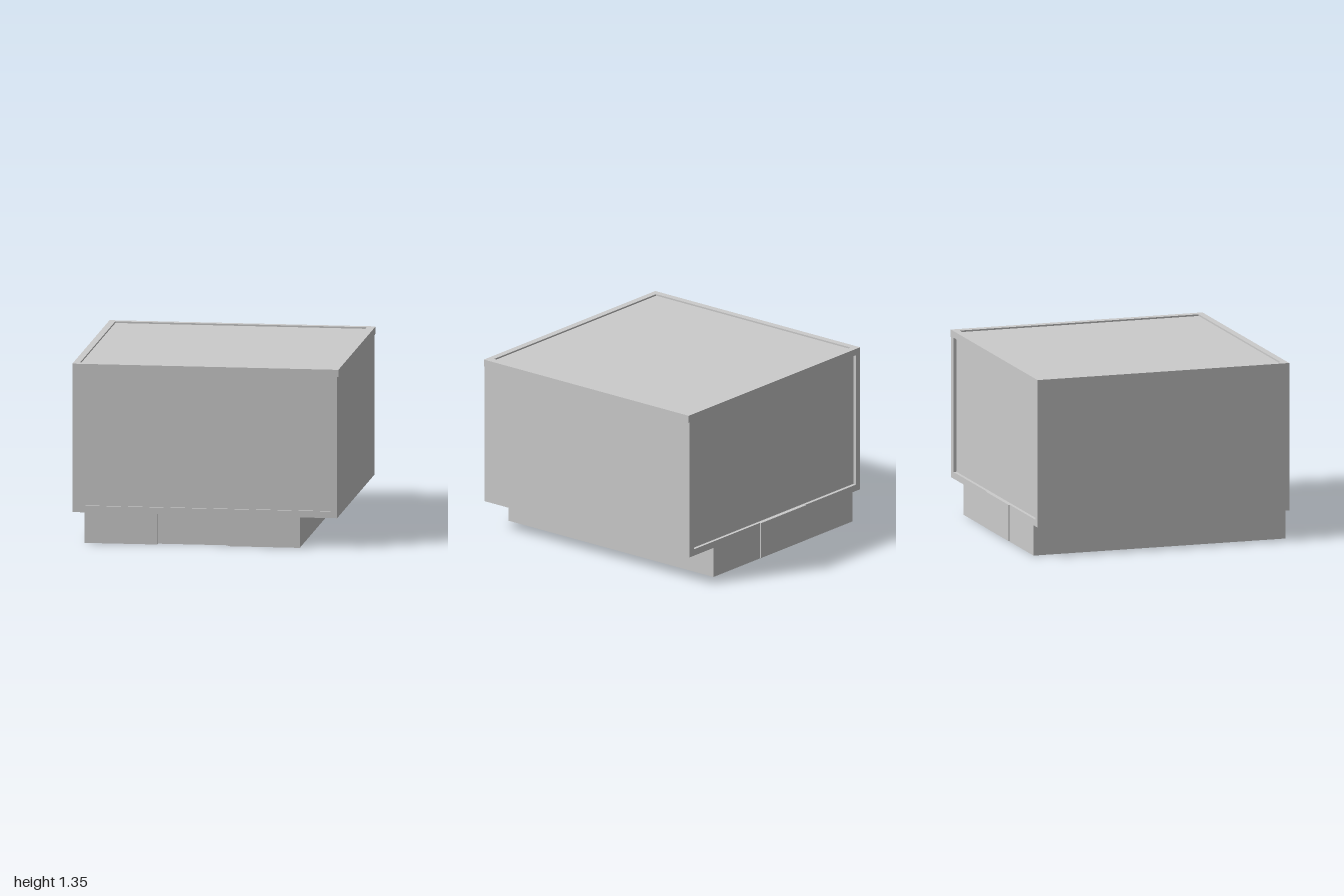
import * as THREE from 'three';

const mat = new THREE.MeshStandardMaterial({ color: 0xcccccc, flatShading: true });

// Box given by its minimum and maximum corners
function box(name, [x0, y0, z0], [x1, y1, z1]) {
  const g = new THREE.BoxGeometry(x1 - x0, y1 - y0, z1 - z0);
  g.translate((x0 + x1) / 2, (y0 + y1) / 2, (z0 + z1) / 2);
  const m = new THREE.Mesh(g, mat);
  m.name = name;
  return m;
}

function polygon(points) {
  return new THREE.Shape(points.map(([x, y]) => new THREE.Vector2(x, y)));
}

function extrude(name, shape, depth) {
  const g = new THREE.ExtrudeGeometry(shape, { depth, bevelEnabled: false });
  const m = new THREE.Mesh(g, mat);
  m.name = name;
  return m;
}

// Rectangle with a rectangular opening
function frameShape(x0, y0, x1, y1, hx0, hy0, hx1, hy1) {
  const s = polygon([[x0, y0], [x1, y0], [x1, y1], [x0, y1]]);
  s.holes.push(polygon([[hx0, hy0], [hx0, hy1], [hx1, hy1], [hx1, hy0]]));
  return s;
}

export function createModel() {
  const group = new THREE.Group();
  const L = -1, R = 0.99, bottom = 0.23, top = 1.35;
  const back = -0.985, front = 0.995, rim = 0.05;
  const topDepth = 0.012, frontDepth = 0.015, backDepth = 0.025;
  const coreTop = top - topDepth;

  // Upper storey, with sunken panels on the front, back and roof
  group.add(box('upperStorey', [L, bottom, back + backDepth], [R, coreTop, front - frontDepth]));

  const wall = frameShape(L, bottom, R, coreTop, L + rim, bottom + rim, R - rim, top - rim);
  const frontFrame = extrude('frontFrame', wall, frontDepth);
  frontFrame.position.z = front - frontDepth;
  const backFrame = extrude('backFrame', wall, backDepth);
  backFrame.position.z = back;

  const roof = frameShape(L, -front, R, -back, L + rim, -front + rim, R - rim, -back - rim);
  const parapet = extrude('roofParapet', roof, topDepth);
  parapet.rotation.x = -Math.PI / 2;
  parapet.position.y = coreTop;
  group.add(frontFrame, backFrame, parapet);

  // Thin strip along the top of one side
  group.add(box('sideStrip', [R, 1.295, back], [1, top, front]));

  // Narrower ground storey, with a shallow entrance recess in front
  const plan = polygon([
    [-0.91, -front], [-0.36, -front], [-0.36, -front + 0.04], [0.17, -front + 0.04],
    [0.17, -front], [0.71, -front], [0.71, -back], [-0.91, -back],
  ]);
  const base = extrude('groundStorey', plan, bottom);
  base.rotation.x = -Math.PI / 2;
  group.add(base);

  // Slightly raised rear door panel
  group.add(box('rearDoor', [-0.36, 0.005, -0.995], [0.17, 0.28, back + 0.02]));

  return group;
}
